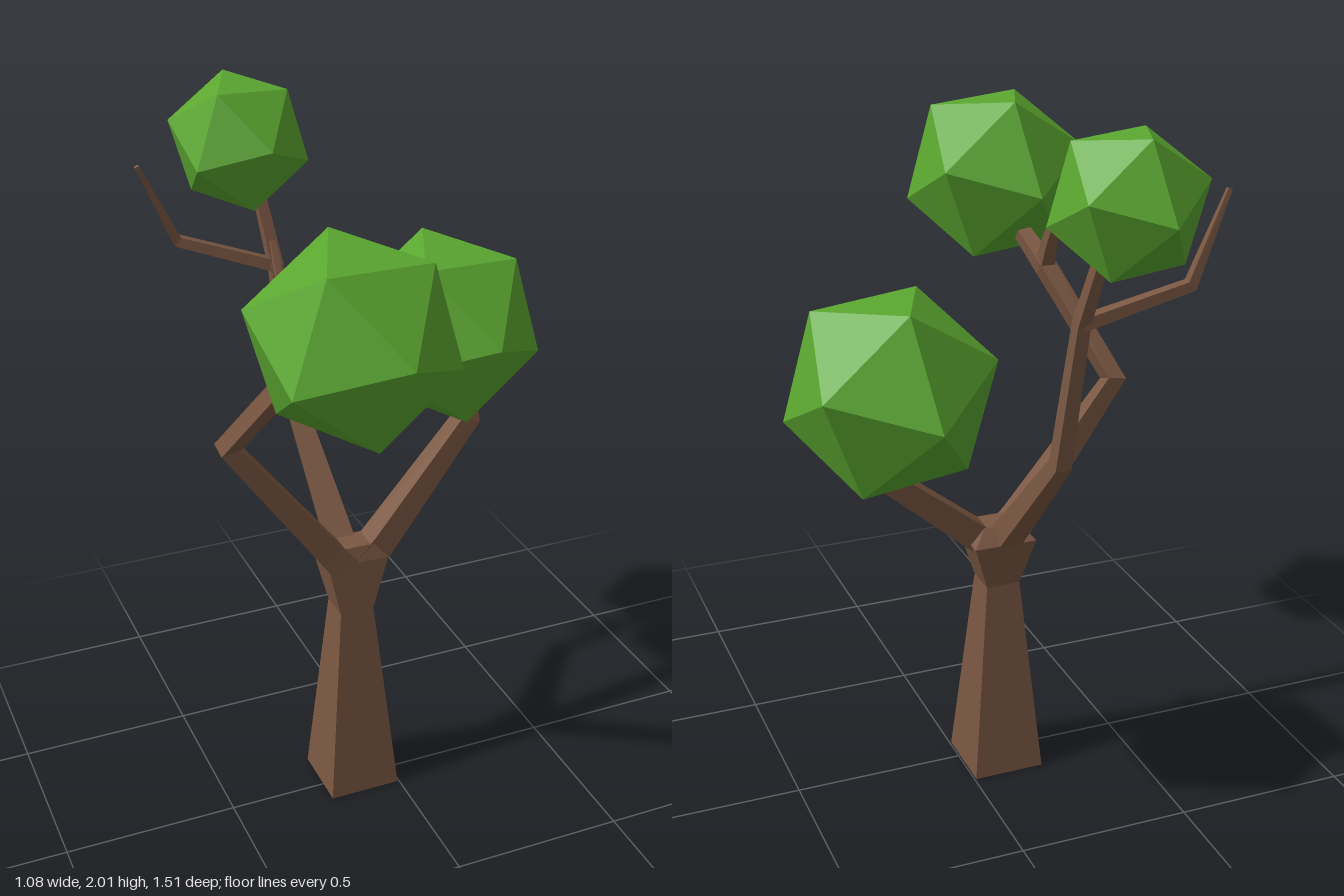
import * as THREE from 'three';

const V = (x, y, z) => new THREE.Vector3(x, y, z);
const CORNERS = [[-1, -1], [1, -1], [1, 1], [-1, 1]];

// Closed four-sided skin over a list of rings (four corners each)
function loft(rings) {
  const pos = [];
  const quad = (a, b, c, d) => [a, b, c, a, c, d].forEach((p) => pos.push(p.x, p.y, p.z));
  for (let k = 0; k < rings.length - 1; k++) {
    for (let i = 0; i < 4; i++) {
      const j = (i + 1) % 4;
      quad(rings[k][i], rings[k][j], rings[k + 1][j], rings[k + 1][i]);
    }
  }
  quad(...[...rings[0]].reverse());
  quad(...rings[rings.length - 1]);
  const geo = new THREE.BufferGeometry();
  geo.setAttribute('position', new THREE.Float32BufferAttribute(pos, 3));
  geo.computeVertexNormals();
  return geo;
}

// Tapered square limb through points [x, y, z, halfWidth]
function limb(points, ref) {
  const p = points.map((q) => V(q[0], q[1], q[2]));
  let u = ref.clone();
  return loft(p.map((c, k) => {
    const t = V(0, 0, 0);
    if (k > 0) t.add(c.clone().sub(p[k - 1]).normalize());
    if (k < p.length - 1) t.add(p[k + 1].clone().sub(c).normalize());
    t.normalize();
    u = u.clone().addScaledVector(t, -u.dot(t)).normalize();
    const v = t.clone().cross(u);
    const w = points[k][3];
    return CORNERS.map(([a, b]) => c.clone().addScaledVector(u, a * w).addScaledVector(v, b * w));
  }));
}

export function createModel() {
  const group = new THREE.Group();
  const bark = new THREE.MeshStandardMaterial({ color: 0x7a5742, flatShading: true });
  bark.name = 'bark brown';
  const leaf = new THREE.MeshStandardMaterial({ color: 0x5aa62f, flatShading: true });
  leaf.name = 'leaf green';
  const add = (name, geo, mat) => {
    const mesh = new THREE.Mesh(geo, mat);
    mesh.name = name;
    group.add(mesh);
  };

  // Trunk: square taper that flares out at the fork [y, x0, x1, z0, z1]
  const trunk = [
    [0, -0.215, -0.005, -0.133, 0.077],
    [0.6, -0.158, -0.058, -0.076, 0.022],
    [0.75, -0.188, -0.005, -0.122, 0.008],
    [0.795, -0.15, -0.045, -0.085, -0.005],
  ];
  add('trunk', loft(trunk.map(([y, x0, x1, z0, z1]) =>
    [V(x0, y, z1), V(x1, y, z1), V(x1, y, z0), V(x0, y, z0)])), bark);

  // Branches and bare twigs
  const X = V(1, 0, 0), Z = V(0, 0, 1);
  add('rightBranch', limb([[-0.13, 0.73, -0.03, 0.042], [-0.17, 0.782, -0.03, 0.038],
    [-0.455, 1.17, -0.03, 0.027], [-0.335, 1.45, 0.185, 0.024], [-0.32, 1.54, 0.4, 0.018]], Z), bark);
  add('rightTwig', limb([[-0.335, 1.45, 0.19, 0.022], [-0.33, 1.53, 0.15, 0.017],
    [-0.33, 1.75, 0.03, 0.006]], X), bark);
  add('leftBranch', limb([[-0.08, 0.72, -0.035, 0.042], [-0.02, 0.772, -0.045, 0.039],
    [0.305, 1.06, -0.145, 0.03], [0.32, 1.2, -0.2, 0.024]], Z), bark);
  add('backBranch', limb([[-0.11, 0.73, -0.06, 0.036], [-0.112, 0.785, -0.11, 0.034],
    [-0.135, 1.1, -0.385, 0.023], [-0.16, 1.5, -0.435, 0.018], [-0.185, 1.73, -0.51, 0.014]], X), bark);
  add('backTwig', limb([[-0.16, 1.5, -0.435, 0.017], [-0.425, 1.59, -0.498, 0.015],
    [-0.53, 1.82, -0.478, 0.006]], Z), bark);

  // Leaf clumps: icosahedra sharing one tilt, set by two neighbouring corners
  const a = V(-0.0075, 0.23, -0.14).normalize(), b = V(0.1675, 0.191, 0.085).normalize();
  const yAxis = a.clone().add(b).normalize();
  const xAxis = b.clone().sub(a).normalize();
  const tilt = new THREE.Matrix4().makeBasis(xAxis, yAxis, xAxis.clone().cross(yAxis));
  [
    ['frontLeaves', -0.298, 1.655, 0.485, 0.269],
    ['leftLeaves', 0.282, 1.315, -0.25, 0.287],
    ['backLeaves', -0.214, 1.833, -0.558, 0.202],
  ].forEach(([name, x, y, z, r]) => {
    add(name, new THREE.IcosahedronGeometry(r, 0).applyMatrix4(tilt).translate(x, y, z), leaf);
  });
  return group;
}
